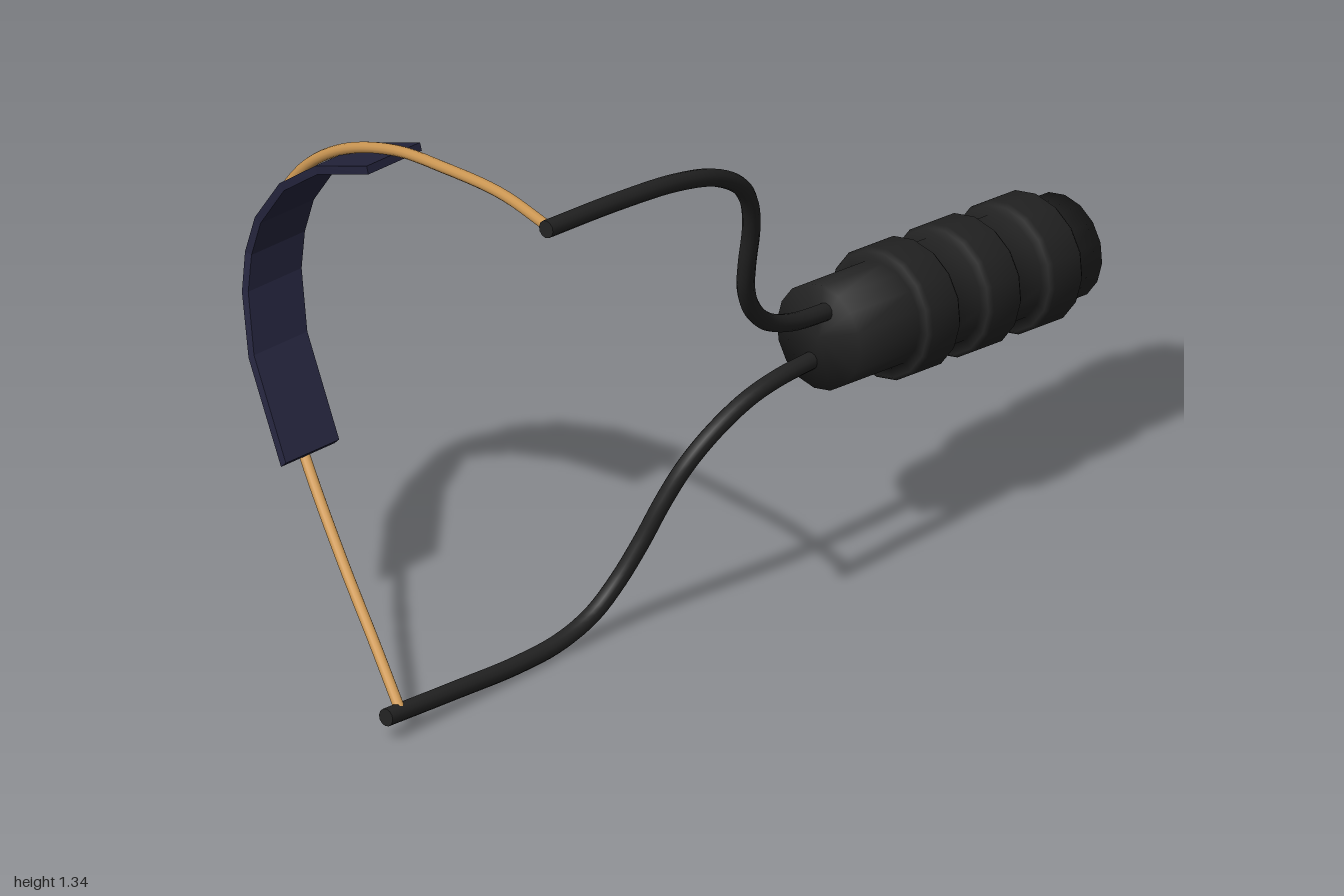
import * as THREE from 'three';

const black = new THREE.MeshStandardMaterial({ color: 0x222222 });
black.name = 'black rubber';
const tan = new THREE.MeshStandardMaterial({ color: 0xcd9854 });
tan.name = 'tan elastic';
const navy = new THREE.MeshStandardMaterial({ color: 0x24243c, flatShading: true });
navy.name = 'navy leather';

const V = (p) => new THREE.Vector3(...p);

// Round rod along a smooth path, closed with a disc at each end
function rod(name, points, radius, segments, material) {
  const group = new THREE.Group();
  group.name = name;
  const curve = new THREE.CatmullRomCurve3(points.map(V));
  group.add(new THREE.Mesh(new THREE.TubeGeometry(curve, segments, radius, 12), material));
  for (const end of [0, 1]) {
    const cap = new THREE.Mesh(new THREE.CircleGeometry(radius, 12), material);
    const p = curve.getPointAt(end);
    cap.position.copy(p);
    cap.lookAt(p.clone().addScaledVector(curve.getTangentAt(end), end ? 1 : -1));
    group.add(cap);
  }
  group.children.forEach((m) => { m.name = name; });
  return group;
}

// Ribbed grip turned around its own axis
function makeHandle() {
  const start = V([0.203, 0.577, 0.35]);
  const end = V([0.983, 0.489, 0.35]);
  const length = start.distanceTo(end);
  const profile = [[0, 0], [0.12, 0]];
  for (const s of [0.248, 0.445, 0.643]) {
    profile.push([0.12, s - 0.054], [0.142, s - 0.053], [0.15, s - 0.043]);
    profile.push([0.15, s + 0.043], [0.142, s + 0.053], [0.12, s + 0.054]);
  }
  profile.push([0.12, length], [0, length]);
  const geometry = new THREE.LatheGeometry(profile.map((p) => new THREE.Vector2(...p)), 16);
  const handle = new THREE.Mesh(geometry, black);
  handle.name = 'handle';
  handle.position.copy(start);
  handle.quaternion.setFromUnitVectors(V([0, 1, 0]), end.clone().sub(start).normalize());
  return handle;
}

// Flat strap swept along the inside of the band
function makePouch(path) {
  const across = V([1, -0.06, 0]).normalize();
  const sections = path.slice(3, 11).map((p, k) => {
    const i = k + 3;
    const along = V(path[i + 1]).sub(V(path[i - 1])).normalize();
    const inward = along.cross(across).normalize();
    return [[-1, 0.01], [1, 0.01], [1, 0.029], [-1, 0.029]].map(([side, depth]) =>
      V(p).addScaledVector(across, side * 0.086).addScaledVector(inward, depth));
  });
  const corners = [];
  const quad = (a, b, c, d) => corners.push(a, b, c, a, c, d);
  for (let i = 0; i < sections.length - 1; i++) {
    const s = sections[i], t = sections[i + 1];
    for (let j = 0; j < 4; j++) {
      const k = (j + 1) % 4;
      quad(s[j], s[k], t[k], t[j]);
    }
  }
  quad(...[...sections[0]].reverse());
  quad(...sections[sections.length - 1]);
  const geometry = new THREE.BufferGeometry().setFromPoints(corners);
  geometry.computeVertexNormals();
  const pouch = new THREE.Mesh(geometry, navy);
  pouch.name = 'pouch';
  return pouch;
}

export function createModel() {
  const model = new THREE.Group();
  model.name = 'slingshot';
  model.add(makeHandle());

  // Fork arms, from tip to handle
  model.add(rod('upperArm', [
    [-0.865, 1.328, 0.523], [-0.633, 1.303, 0.521], [-0.446, 1.274, 0.52], [-0.312, 1.231, 0.514],
    [-0.216, 1.167, 0.502], [-0.168, 1.098, 0.486], [-0.142, 1.018, 0.466], [-0.126, 0.921, 0.44],
    [-0.104, 0.841, 0.417], [-0.061, 0.767, 0.396], [0.008, 0.702, 0.378], [0.104, 0.66, 0.368],
    [0.25, 0.635, 0.363]], 0.02, 64, black));
  model.add(rod('lowerArm', [
    [-0.998, 0.062, 0.178], [-0.767, 0.04, 0.179], [-0.58, 0.025, 0.181], [-0.446, 0.029, 0.184],
    [-0.35, 0.061, 0.192], [-0.286, 0.12, 0.206], [-0.238, 0.206, 0.232], [-0.2, 0.302, 0.262],
    [-0.158, 0.382, 0.289], [-0.093, 0.446, 0.31], [0, 0.494, 0.324], [0.093, 0.513, 0.331],
    [0.25, 0.515, 0.334]], 0.02, 64, black));

  // Elastic band from the upper tip, around behind the pouch, to the lower tip
  const path = [
    [-0.837, 1.314, 0.515], [-0.77, 1.3, 0.309], [-0.715, 1.264, 0.095], [-0.66, 1.214, -0.108],
    [-0.618, 1.129, -0.298], [-0.597, 1.032, -0.423], [-0.587, 0.914, -0.505], [-0.59, 0.818, -0.532],
    [-0.613, 0.729, -0.52], [-0.658, 0.604, -0.459], [-0.735, 0.425, -0.294], [-0.815, 0.279, -0.12],
    [-0.897, 0.15, 0.059], [-0.955, 0.065, 0.18]];
  model.add(rod('band', path, 0.0125, 72, tan));
  model.add(makePouch(path));
  return model;
}
